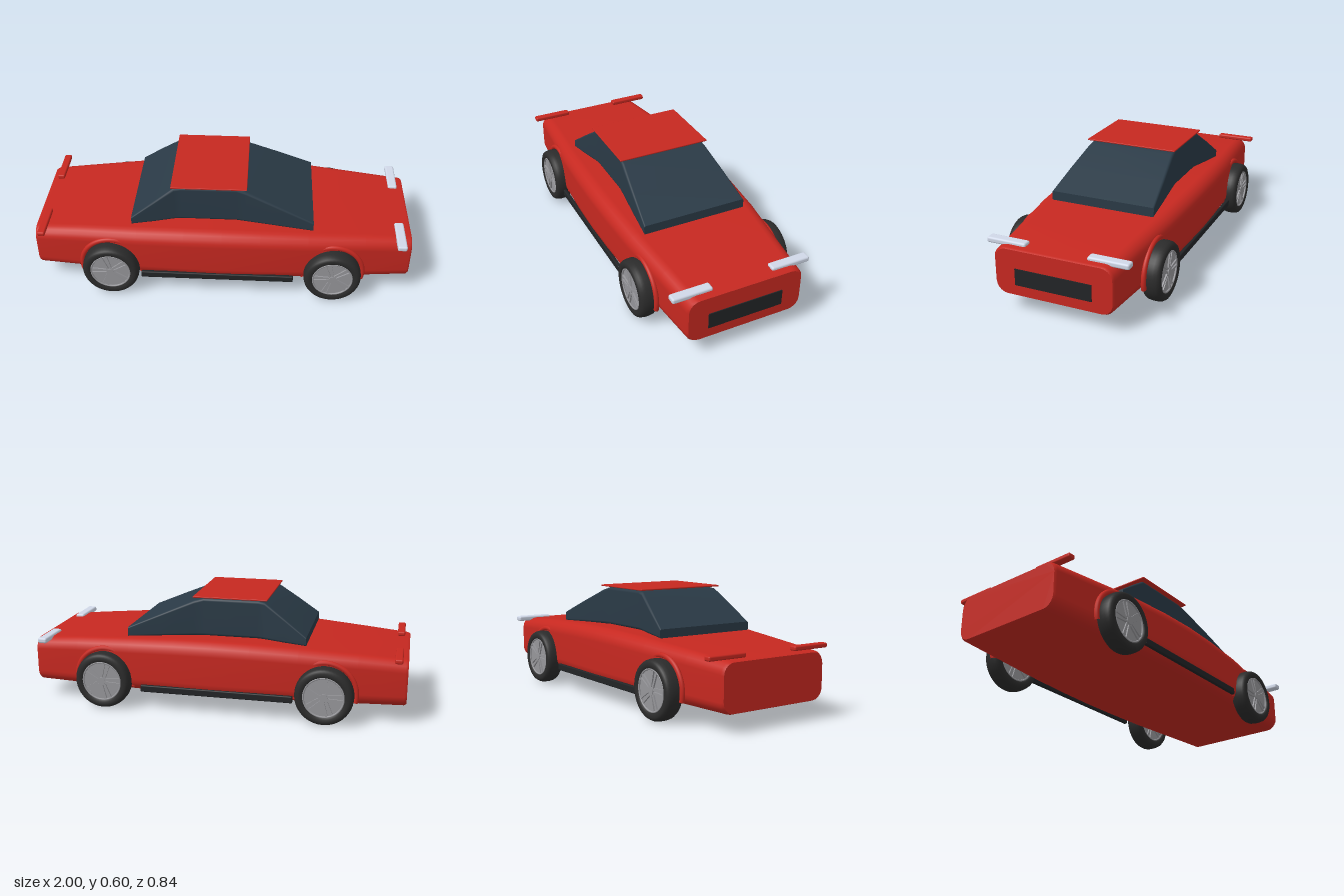
import * as THREE from 'three';
import { RoundedBoxGeometry } from 'three/addons/geometries/RoundedBoxGeometry.js';

const mat = (color) => new THREE.MeshStandardMaterial({ color });
const red = mat(0xc62820), glassMat = mat(0x2a3a46), black = mat(0x222426);
const rubber = mat(0x2b2b2b), alloy = mat(0x96969a), lampWhite = mat(0xd0d8e8);

function add(parent, name, geometry, material, x = 0, y = 0, z = 0) {
  const mesh = new THREE.Mesh(geometry, material);
  mesh.name = name;
  mesh.position.set(x, y, z);
  parent.add(mesh);
  return mesh;
}

// Skin over rounded-rectangle sections along x; station = [x, halfWidth, bottom, top, cornerRadius]
function loft(stations, seg = 5) {
  const pos = [], index = [], n = 4 * (seg + 1);
  const ring = ([x, w, y0, y1, r]) => {
    for (let c = 0; c < 4; c++) {
      const cz = c === 0 || c === 3 ? w - r : r - w;
      const cy = c < 2 ? y1 - r : y0 + r;
      for (let k = 0; k <= seg; k++) {
        const a = (c + k / seg) * Math.PI / 2;
        pos.push(x, cy + r * Math.sin(a), cz + r * Math.cos(a));
      }
    }
  };
  stations.forEach(ring);
  for (let i = 0; i < stations.length - 1; i++) {
    for (let j = 0; j < n; j++) {
      const a = i * n + j, b = i * n + (j + 1) % n;
      index.push(a, a + n, b + n, a, b + n, b);
    }
  }
  // Flat end caps
  [stations[0], stations[stations.length - 1]].forEach((s, e) => {
    const start = pos.length / 3;
    ring(s);
    for (let j = 1; j < n - 1; j++) {
      if (e) index.push(start, start + j + 1, start + j);
      else index.push(start, start + j, start + j + 1);
    }
  });
  const g = new THREE.BufferGeometry();
  g.setAttribute('position', new THREE.Float32BufferAttribute(pos, 3));
  g.setIndex(index);
  g.computeVertexNormals();
  return g;
}

function makeWheel() {
  const wheel = new THREE.Group();
  const ring = (points) => new THREE.LatheGeometry(
    points.map(([r, h]) => new THREE.Vector2(r, h)), 48).rotateX(Math.PI / 2);
  // Tyre with rounded shoulders
  add(wheel, 'tyre', ring([
    [0.106, -0.04], [0.115, -0.047], [0.13, -0.047], [0.141, -0.042], [0.148, -0.03], [0.151, -0.012],
    [0.151, 0.012], [0.148, 0.03], [0.141, 0.042], [0.13, 0.047], [0.115, 0.047], [0.106, 0.04],
    [0.106, -0.04],
  ]), rubber);
  add(wheel, 'rimDisc', new THREE.CylinderGeometry(0.107, 0.107, 0.066, 48).rotateX(Math.PI / 2), alloy);
  add(wheel, 'hub', new THREE.CylinderGeometry(0.02, 0.02, 0.088, 24).rotateX(Math.PI / 2), alloy);
  for (const side of [-1, 1]) {
    add(wheel, 'rimLip', new THREE.TorusGeometry(0.103, 0.005, 8, 48), alloy, 0, 0, side * 0.038);
    // Five pairs of narrow spokes
    for (let i = 0; i < 5; i++) {
      for (const d of [-1, 1]) {
        const spoke = new THREE.BoxGeometry(0.012, 0.086, 0.012).rotateZ(d * -0.07)
          .translate(d * 0.011, 0.06, 0).rotateZ(i * Math.PI * 0.4 + 0.3);
        add(wheel, 'spoke', spoke, alloy, 0, 0, side * 0.035);
      }
    }
  }
  return wheel;
}

export function createModel() {
  const car = new THREE.Group();
  car.name = 'car';

  // Body shell, tapering towards nose and tail
  add(car, 'body', loft([
    [-0.998, 0.304, 0.096, 0.329, 0.058], [-0.985, 0.312, 0.091, 0.335, 0.06],
    [-0.75, 0.335, 0.09, 0.353, 0.064], [-0.45, 0.368, 0.09, 0.373, 0.07],
    [-0.2, 0.381, 0.09, 0.383, 0.072], [0, 0.385, 0.09, 0.386, 0.072],
    [0.2, 0.381, 0.09, 0.383, 0.072], [0.45, 0.368, 0.09, 0.373, 0.07],
    [0.75, 0.335, 0.09, 0.353, 0.064], [0.985, 0.312, 0.091, 0.335, 0.06],
    [0.995, 0.304, 0.096, 0.329, 0.058],
  ]), red);

  // Glasshouse, widest at the foot of both screens
  add(car, 'glasshouse', loft([
    [-0.48, 0.283, 0.376, 0.42, 0.008], [-0.365, 0.264, 0.38, 0.505, 0.012],
    [-0.255, 0.242, 0.385, 0.583, 0.015], [-0.22, 0.238, 0.386, 0.588, 0.015],
    [0.07, 0.238, 0.386, 0.588, 0.015], [0.12, 0.244, 0.384, 0.574, 0.015],
    [0.3, 0.266, 0.378, 0.497, 0.012], [0.475, 0.284, 0.37, 0.42, 0.008],
  ], 3), glassMat);

  add(car, 'roofPanel', new RoundedBoxGeometry(0.395, 0.008, 0.505, 2, 0.003), red, -0.073, 0.596, 0);
  add(car, 'grille', new THREE.BoxGeometry(0.014, 0.085, 0.4), black, 0.993, 0.193, 0);

  for (const side of [-1, 1]) {
    add(car, 'headlight', new RoundedBoxGeometry(0.05, 0.029, 0.21, 3, 0.01), lampWhite, 0.935, 0.338, side * 0.265);
    add(car, 'tailLight', new RoundedBoxGeometry(0.04, 0.024, 0.215, 3, 0.008), red, -0.95, 0.35, side * 0.258);
    add(car, 'sill', new RoundedBoxGeometry(0.81, 0.037, 0.02, 2, 0.006), black, -0.025, 0.118, side * 0.38);
    for (const x of [-0.59, 0.585]) {
      const wheel = makeWheel();
      wheel.name = 'wheel';
      wheel.position.set(x, 0.151, side * 0.373);
      car.add(wheel);
      // Flared lip over the upper half of the wheel
      add(car, 'wheelArch', new THREE.TorusGeometry(0.16, 0.013, 10, 40, Math.PI * 1.16).rotateZ(-Math.PI * 0.08),
        red, x, 0.155, side * 0.346);
    }
  }
  return car;
}
